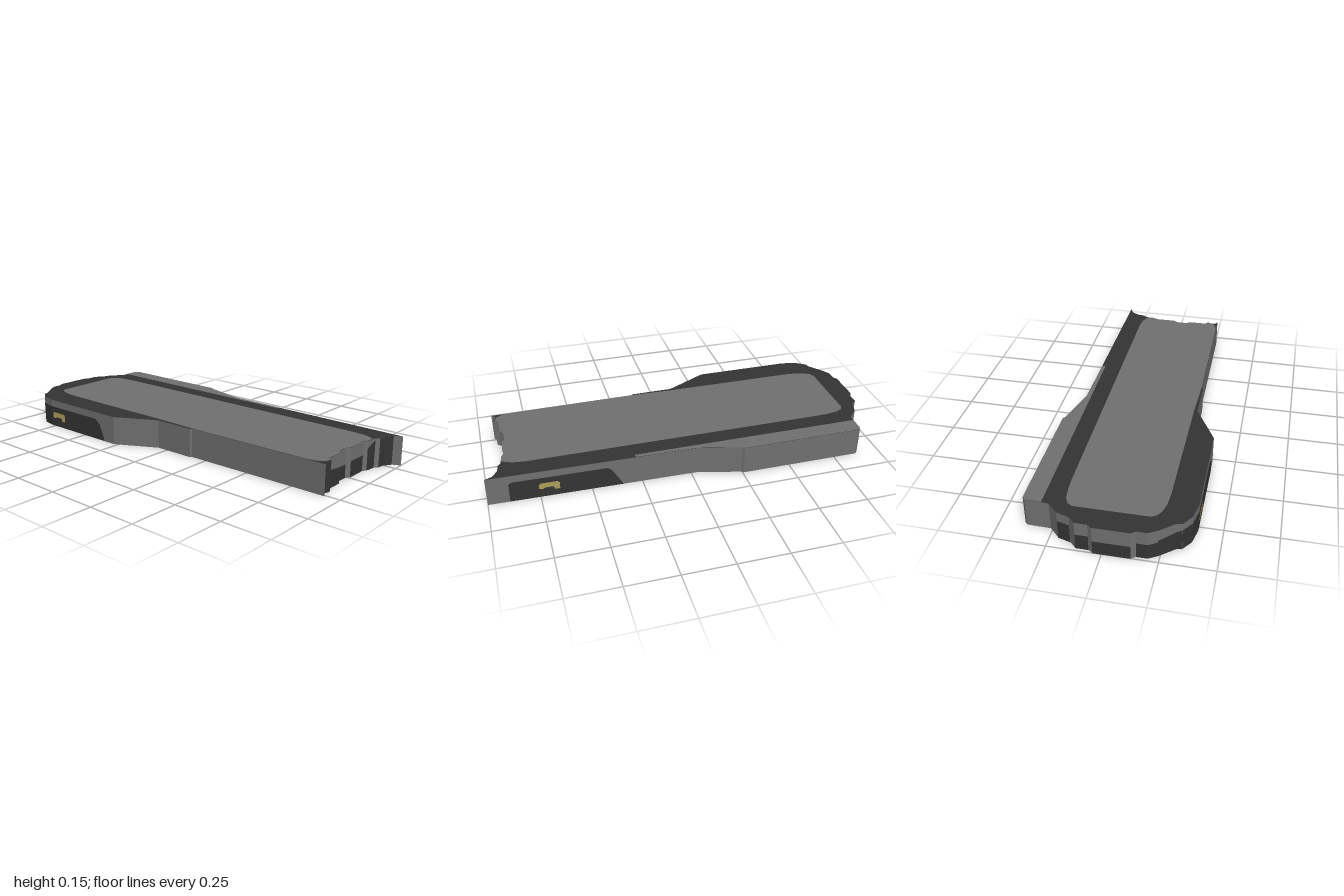
import * as THREE from 'three';

const H = 0.147; // body height
const grey = new THREE.MeshStandardMaterial({ color: 0x707070 });
grey.name = 'grey';
const dark = new THREE.MeshStandardMaterial({ color: 0x343434 });
dark.name = 'charcoal';
const gold = new THREE.MeshStandardMaterial({ color: 0xae9f5a });
gold.name = 'gold';

const toShape = (pts, sign = 1) => new THREE.Shape(pts.map(([a, b]) => new THREE.Vector2(a, sign * b)));

// Outline in plan, as [x, z]
const backEdge = [
  [-0.387, -0.77], [-0.37, -0.85], [-0.335, -0.9], [-0.31, -0.905], [-0.24, -0.962], [-0.2, -0.985],
  [-0.15, -0.985], [-0.13, -1], [0.04, -1], [0.06, -0.985], [0.12, -0.985], [0.15, -0.955],
  [0.21, -0.938], [0.26, -0.888],
];
const rightEdge = [[0.373, -0.885], [0.385, -0.87], [0.385, -0.255], [0.376, -0.245], [0.32, -0.03], [0.318, 0.06]];
const frontEdge = [
  [0.303, 1], [0.285, 0.96], [0.247, 0.935], [0.208, 0.93], [0.19, 0.915], [0.135, 0.907], [0.115, 0.895],
  [0.005, 0.895], [-0.015, 0.88], [-0.07, 0.88], [-0.09, 0.895], [-0.185, 0.895], [-0.2, 0.915],
  [-0.24, 0.905], [-0.258, 0.925],
];
const leftEdge = [[-0.266, 0.165], [-0.275, 0.16], [-0.275, -0.055], [-0.387, -0.27]];

// Flat plate on the top face from [x, z] points
function topPlate(name, pts, material) {
  const geometry = new THREE.ShapeGeometry(toShape(pts, -1));
  geometry.rotateX(-Math.PI / 2).translate(0, H + 0.0015, 0);
  const mesh = new THREE.Mesh(geometry, material);
  mesh.name = name;
  return mesh;
}

// Flat plate on the wall from a to b (left to right seen from outside), from [distance, height] points
function wallPlate(name, a, b, pts, material, lift = 0.0015) {
  const u = new THREE.Vector3(b[0] - a[0], 0, b[1] - a[1]).normalize();
  const v = new THREE.Vector3(0, 1, 0);
  const n = new THREE.Vector3().crossVectors(u, v);
  const matrix = new THREE.Matrix4().makeBasis(u, v, n);
  matrix.setPosition(a[0] + n.x * lift, 0, a[1] + n.z * lift);
  const mesh = new THREE.Mesh(new THREE.ShapeGeometry(toShape(pts)).applyMatrix4(matrix), material);
  mesh.name = name;
  return mesh;
}

// Dark lower band over a whole wall segment
function wallBand(name, a, b, y0, y1 = y0) {
  const w = Math.hypot(b[0] - a[0], b[1] - a[1]);
  return wallPlate(name, a, b, [[0, 0], [w, 0], [w, y1], [0, y0]], dark);
}

// Small hooked badge shape with its lower left at s
const hook = (s) => [
  [s, 0.05], [s + 0.015, 0.045], [s + 0.03, 0.053], [s + 0.07, 0.053], [s + 0.075, 0.036],
  [s + 0.1, 0.036], [s + 0.1, 0.072], [s + 0.09, 0.08], [s + 0.01, 0.08], [s, 0.072],
];

export function createModel() {
  const model = new THREE.Group();
  model.name = 'model';

  // Body: dark faces above and below, grey walls
  const outline = [...backEdge, ...rightEdge, ...frontEdge, ...leftEdge];
  const bodyGeometry = new THREE.ExtrudeGeometry(toShape(outline, -1), { depth: H, bevelEnabled: false });
  bodyGeometry.rotateX(-Math.PI / 2);
  const body = new THREE.Mesh(bodyGeometry, [dark, grey]);
  body.name = 'body';
  model.add(body);

  // Long grey panel with rounded back corners
  model.add(topPlate('topPanel', [
    [-0.255, -0.72], [-0.25, -0.79], [-0.236, -0.845], [-0.218, -0.872], [-0.195, -0.885],
    [0.155, -0.885], [0.178, -0.872], [0.195, -0.84], [0.203, -0.78], [0.206, -0.72],
    [0.206, 0.8], [0.198, 0.86], [0.176, 0.91],
    ...frontEdge.slice(5, 12), [-0.197, 0.91], [-0.228, 0.905], [-0.25, 0.87],
    [-0.258, 0.83], [-0.265, 0.165], [-0.258, -0.05],
  ], grey));

  // Narrow grey strip along the left shoulder
  model.add(topPlate('shoulderStrip', [[0.295, -0.887], ...rightEdge, [0.314, 0.28], [0.295, 0.28]], grey));

  // Front bands: segment index, height at each end
  [[1, H, H], [2, H, H], [4, 0.14, 0.11], [6, 0.08, 0.08], [8, 0.068, 0.068], [10, 0.08, 0.09], [12, H, H]]
    .forEach(([i, yRight, yLeft]) => model.add(wallBand('frontBand', frontEdge[i + 1], frontEdge[i], yLeft, yRight)));

  // Back bands
  [[3, 0.09, 0.1], [4, 0.08, 0.08], [5, 0.08, 0.08], [7, 0.07, 0.07], [9, 0.08, 0.08], [11, 0.1, 0.1]]
    .forEach(([i, yLeft, yRight]) => model.add(wallBand('backBand', backEdge[i + 1], backEdge[i], yLeft, yRight)));

  // Left side window and badge
  const a = [0.303, 1], b = [0.318, 0.06];
  model.add(wallPlate('sideWindow', a, b,
    [[0.105, 0.001], [0.655, 0.001], [0.6, 0.095], [0.58, 0.11], [0.12, 0.11], [0.105, 0.1]], dark));
  model.add(wallPlate('sideBadge', a, b, hook(0.245), gold, 0.003));

  // Right side window, wrapping round the back corner, and badge
  const c = [-0.387, -0.77], d = [-0.387, -0.27];
  model.add(wallPlate('sideWindow', c, d,
    [[0, 0.001], [0.43, 0.001], [0.395, 0.085], [0.36, 0.11], [0, 0.11]], dark));
  for (let i = 0; i < 3; i++) {
    model.add(wallBand('cornerWindow', backEdge[i + 1], backEdge[i], i === 2 ? 0.1 : 0.11, 0.11));
  }
  model.add(wallPlate('sideBadge', c, d, hook(0.01), gold, 0.003));

  return model;
}
